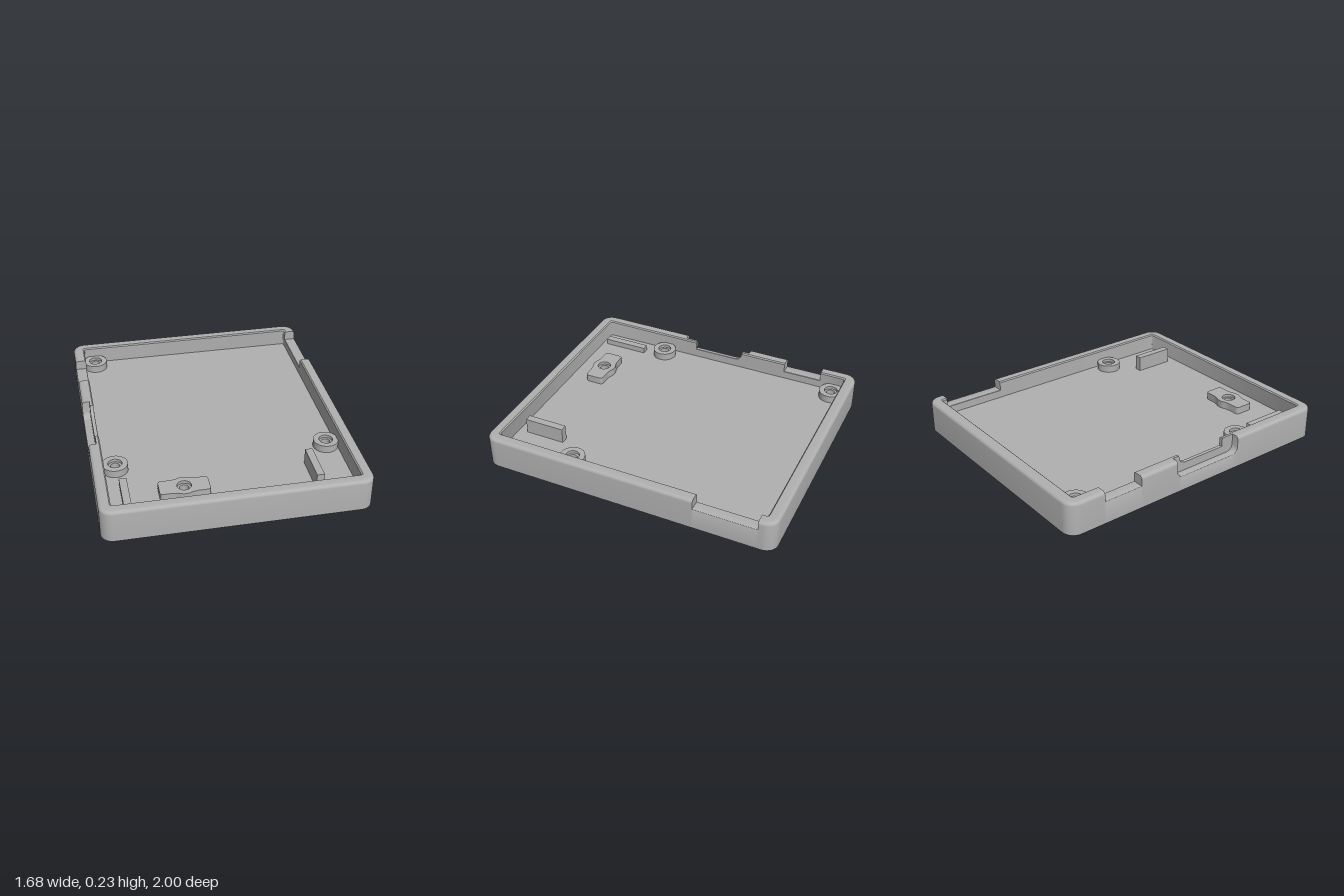
import * as THREE from 'three';
import { toCreasedNormals } from 'three/addons/utils/BufferGeometryUtils.js';

const W = 0.84, D = 1, TOP = 0.23, FLOOR = 0.11, WALL = 0.075, CORNER = 0.08;
const BOSS_TOP = 0.16, HOLE = 0.03, SEAT = 0.045;

// Cross-section of the wall as [inset, height]; the outer and inner halves may differ in height.
function wallSection(ho, hi) {
  const r = ho === TOP ? 0.022 : 0.003, ri = hi === TOP ? 0.008 : 0.002;
  const pts = [[0.014, 0], [0, 0.014]];
  for (let k = 0; k <= 5; k++) {
    const a = k / 5 * Math.PI / 2;
    pts.push([r - r * Math.cos(a), ho - r + r * Math.sin(a)]);
  }
  pts.push([0.05, ho], [0.05, hi], [WALL - ri, hi], [WALL, hi - ri], [WALL, FLOOR - 0.01]);
  return pts;
}

// Left and right wall heights along z: [z, outer height, inner height]
const NOTCH = 0.165, SLOT = 0.115, LIP = 0.17;
const rightSideWall = [
  [0.3, TOP, TOP], [0.3, 0.155, TOP], [0.295, 0.138, TOP], [0.283, 0.123, TOP], [0.262, SLOT, TOP],
  [0.21, SLOT, TOP], [0.21, SLOT, LIP],
  [-0.1, SLOT, LIP], [-0.125, SLOT, 0.177], [-0.143, SLOT, 0.195], [-0.15, SLOT, TOP],
  [-0.162, SLOT, TOP], [-0.183, 0.123, TOP], [-0.195, 0.138, TOP], [-0.2, 0.155, TOP], [-0.2, TOP, TOP],
  [-0.48, TOP, TOP], [-0.48, NOTCH, NOTCH], [-0.75, NOTCH, NOTCH], [-0.75, TOP, TOP],
];
const leftSideWall = [
  [-0.89, TOP, TOP], [-0.89, NOTCH, NOTCH], [-0.47, NOTCH, NOTCH], [-0.47, TOP, TOP],
];

// The wall is a closed loop of cross-sections around a rounded rectangle.
function wallGeometry() {
  const rings = [];
  const corner = (sx, sz, start) => {
    for (let k = 0; k <= 8; k++) {
      const a = start + k / 8 * Math.PI / 2;
      rings.push(wallSection(TOP, TOP).map(([d, y]) => {
        const r = Math.max(CORNER - d, 0.015);
        return [sx * (W - d - r) + r * Math.cos(a), y, sz * (D - d - r) + r * Math.sin(a)];
      }));
    }
  };
  const side = (sx, stations) => {
    for (const [z, ho, hi] of stations) {
      rings.push(wallSection(ho, hi).map(([d, y]) => [sx * (W - d), y, z]));
    }
  };
  corner(1, 1, 0);
  corner(-1, 1, Math.PI / 2);
  side(-1, rightSideWall);
  corner(-1, -1, Math.PI);
  corner(1, -1, Math.PI * 1.5);
  side(1, leftSideWall);

  const n = rings[0].length, index = [];
  for (let i = 0; i < rings.length; i++) {
    const a = i * n, b = ((i + 1) % rings.length) * n;
    for (let j = 0; j < n - 1; j++) {
      index.push(a + j, a + j + 1, b + j, a + j + 1, b + j + 1, b + j);
    }
  }
  const geo = new THREE.BufferGeometry();
  geo.setAttribute('position', new THREE.Float32BufferAttribute(rings.flat(2), 3));
  geo.setIndex(index);
  return toCreasedNormals(geo, 0.6);
}

// Extrude an x-z shape from height y0 up to y1
function plate(shape, y0, y1) {
  const geo = new THREE.ExtrudeGeometry(shape, { depth: y1 - y0, bevelEnabled: false, curveSegments: 20 });
  geo.rotateX(Math.PI / 2).translate(0, y1, 0);
  return toCreasedNormals(geo, 0.6);
}

function addHole(shape, x, z, r) {
  shape.holes.push(new THREE.Path().absarc(x, z, r, 0, Math.PI * 2, true));
  return shape;
}

function roundedRect(w, d, r) {
  const s = new THREE.Shape();
  s.absarc(w - r, d - r, r, 0, Math.PI / 2);
  s.absarc(-w + r, d - r, r, Math.PI / 2, Math.PI);
  s.absarc(-w + r, -d + r, r, Math.PI, Math.PI * 1.5);
  s.absarc(w - r, -d + r, r, Math.PI * 1.5, Math.PI * 2);
  s.closePath();
  return s;
}

const disc = () => new THREE.Shape().absarc(0, 0, 0.082, 0, Math.PI * 2);

// Oblong pad with a round bulge at the middle of both long sides
function padShape() {
  const w = 0.157, d = 0.065, c = 0.02, R = 0.083, a = Math.asin((d + 0.006) / R);
  const s = new THREE.Shape();
  s.absarc(w - c, d - c, c, 0, Math.PI / 2);
  s.lineTo(0.075, d);
  s.absarc(0, 0, R, a, Math.PI - a);
  s.lineTo(-0.075, d);
  s.absarc(-w + c, d - c, c, Math.PI / 2, Math.PI);
  s.absarc(-w + c, -d + c, c, Math.PI, Math.PI * 1.5);
  s.lineTo(-0.075, -d);
  s.absarc(0, 0, R, Math.PI + a, Math.PI * 2 - a);
  s.lineTo(0.075, -d);
  s.absarc(w - c, -d + c, c, Math.PI * 1.5, Math.PI * 2);
  s.closePath();
  return s;
}

export function createModel() {
  const model = new THREE.Group();
  model.name = 'enclosureTray';
  const grey = new THREE.MeshStandardMaterial({ color: 0xb0b0b0 });
  grey.name = 'grey plastic';
  const add = (name, geo, x = 0, y = 0, z = 0) => {
    const mesh = new THREE.Mesh(geo, grey);
    mesh.name = name;
    mesh.position.set(x, y, z);
    model.add(mesh);
  };

  add('outerWall', wallGeometry());

  // Floor with four through holes
  const bosses = [[-0.69, -0.855], [-0.69, 0.435], [0.69, 0.435]];
  const padAt = [-0.3, 0.737];
  const floor = roundedRect(W - 0.014, D - 0.014, CORNER - 0.014);
  for (const [x, z] of [...bosses, padAt]) addHole(floor, x, z, HOLE);
  add('floor', plate(floor, 0, FLOOR));

  // Screw bosses and pad, each with a wider seat at the top of its hole
  const raised = (name, makeShape, x, z) => {
    add(name + 'Base', plate(addHole(makeShape(), 0, 0, HOLE), FLOOR, 0.14), x, 0, z);
    add(name + 'Seat', plate(addHole(makeShape(), 0, 0, SEAT), 0.14, BOSS_TOP), x, 0, z);
  };
  for (const [x, z] of bosses) raised('screwBoss', disc, x, z);
  raised('screwPad', padShape, ...padAt);

  // Support ribs
  const rib = (name, x, z, length, top) =>
    add(name, new THREE.BoxGeometry(0.048, top - FLOOR + 0.01, length), x, (top + FLOOR - 0.01) / 2, z);
  rib('lowRib', -0.66, 0.738, 0.31, 0.15);
  rib('tallRib', 0.527, 0.727, 0.272, 0.215);

  return model;
}
